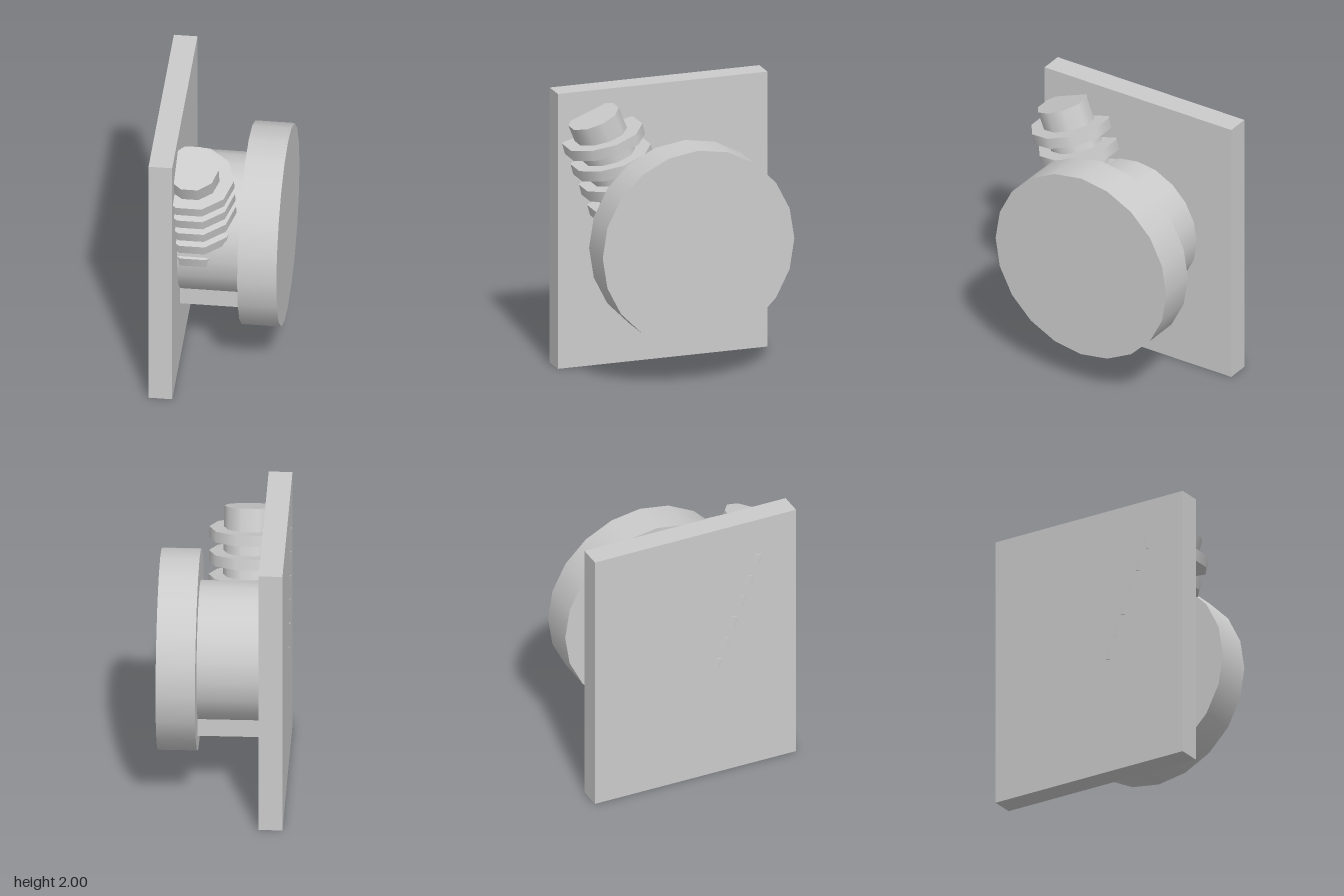
import * as THREE from 'three';

export function createModel() {
  const group = new THREE.Group();
  const material = new THREE.MeshStandardMaterial({ color: 0xcccccc });

  function add(name, geometry, x, y, z) {
    const mesh = new THREE.Mesh(geometry, material);
    mesh.name = name;
    mesh.position.set(x, y, z);
    group.add(mesh);
    return mesh;
  }

  // 20-sided cylinder lying along x
  function roundAlongX(name, radius, x0, x1) {
    const geometry = new THREE.CylinderGeometry(radius, radius, x1 - x0, 20).rotateZ(Math.PI / 2);
    return add(name, geometry, (x0 + x1) / 2, 1, 0);
  }

  // 10-sided cylinder with a corner towards +x, leaning towards the front
  function leaning(name, radius, height, tilt, y, z) {
    const geometry = new THREE.CylinderGeometry(radius, radius, height, 10).rotateY(Math.PI / 2);
    add(name, geometry, -0.162, y, z).rotation.x = THREE.MathUtils.degToRad(tilt);
  }

  // Upright backing plate
  add('backPlate', new THREE.BoxGeometry(0.166, 2, 1.556), -0.358, 1, 0);

  // Spindle, block under it and the large end disc
  roundAlongX('spindle', 0.49, -0.275, 0.172);
  add('spindleBlock', new THREE.BoxGeometry(0.447, 0.3, 0.57), -0.0515, 0.62, 0);
  roundAlongX('endDisc', 0.711, 0.172, 0.447);

  // Leaning screw: a core with evenly spaced rings, tilted a little less than the core
  leaning('screwCore', 0.187, 1.2, 21.5, 1.287, 0.335);
  for (let i = 0; i < 6; i++) {
    leaning('screwRing', 0.288, 0.078, 15, 1.675 - i * 0.155, 0.48 - i * 0.062);
  }

  return group;
}
